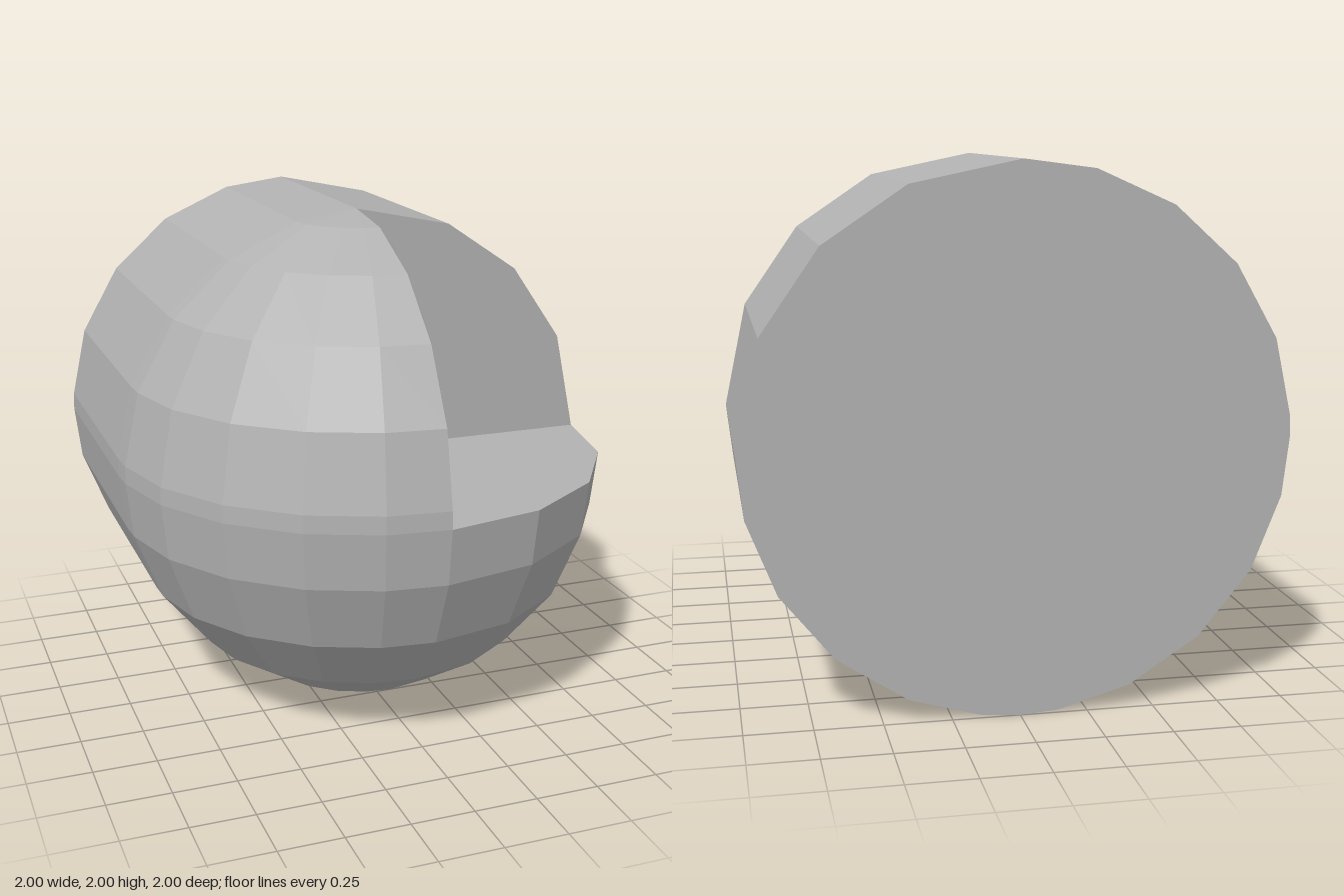
import * as THREE from 'three';

const rad = THREE.MathUtils.degToRad;

// Facet angles in degrees, finer on the closed quarters than on the cut one
const cutArc = [0, 24, 45.5, 66.5, 90];
const upperLat = [0, 4, 21, 39, 57, 75, 90];
const lowerLat = [-90, -82, -66, -48, -30, -13, 0];
const leftLon = [90, 104, 121, 139, 157, 174, 180];
const cutLon = [0, 22.5, 45, 67.5, 90];

// Unit-sphere point: longitude runs from +x over +z (front) to -x
function spherePoint(lat, lon) {
  const a = rad(lat), b = rad(lon);
  return [Math.cos(a) * Math.cos(b), 1 + Math.sin(a), Math.cos(a) * Math.sin(b)];
}

// Faceted patch of the sphere between lists of latitudes and longitudes
function spherePatch(lats, lons) {
  const pos = [];
  for (let i = 0; i < lats.length - 1; i++) {
    for (let j = 0; j < lons.length - 1; j++) {
      const a = spherePoint(lats[i], lons[j]);
      const b = spherePoint(lats[i], lons[j + 1]);
      const c = spherePoint(lats[i + 1], lons[j + 1]);
      const d = spherePoint(lats[i + 1], lons[j]);
      if (lats[i + 1] < 90) pos.push(...a, ...b, ...c, ...a, ...c, ...d);
      else pos.push(...a, ...b, ...c);
    }
  }
  // Longitude runs right to left, so reverse each triangle to face outward
  for (let k = 0; k < pos.length; k += 9) {
    for (let n = 0; n < 3; n++) [pos[k + 3 + n], pos[k + 6 + n]] = [pos[k + 6 + n], pos[k + 3 + n]];
  }
  const geo = new THREE.BufferGeometry();
  geo.setAttribute('position', new THREE.Float32BufferAttribute(pos, 3));
  geo.computeVertexNormals();
  return geo;
}

// Flat quarter disc spanned from the sphere centre
function quarterDisc(points) {
  const pos = [];
  for (let i = 0; i < points.length - 1; i++) pos.push(0, 1, 0, ...points[i], ...points[i + 1]);
  const geo = new THREE.BufferGeometry();
  geo.setAttribute('position', new THREE.Float32BufferAttribute(pos, 3));
  geo.computeVertexNormals();
  return geo;
}

export function createModel() {
  const group = new THREE.Group();
  const grey = new THREE.MeshStandardMaterial({ color: 0xb2b2b2, flatShading: true, side: THREE.DoubleSide });
  grey.name = 'plain grey';
  const add = (name, geo) => {
    const mesh = new THREE.Mesh(geo, grey);
    mesh.name = name;
    group.add(mesh);
  };

  // Cylindrical rear body, its ring matching the dome and the cut
  const ring = [
    ...cutArc,
    ...upperLat.slice(1, -1).reverse().map((a) => 180 - a),
    ...lowerLat.slice().reverse().map((a) => 180 - a),
    ...lowerLat.slice(1, -1),
  ];
  const outline = new THREE.Shape(
    ring.map((a) => new THREE.Vector2(Math.cos(rad(a)), 1 + Math.sin(rad(a)))));
  const body = new THREE.ExtrudeGeometry(outline, { depth: 1, bevelEnabled: false, steps: 1 });
  body.translate(0, 0, -1);
  add('rearCylinder', body);

  // Front dome: whole lower half and the left-hand upper quarter of the view
  add('lowerDome', spherePatch(lowerLat, [...cutLon, ...leftLon.slice(1)]));
  add('upperDome', spherePatch(upperLat, leftLon));

  // Flat walls of the cut-out; its rear wall is the cylinder's front end
  add('cutFloor', quarterDisc(cutLon.map((a) => spherePoint(0, a)).reverse()));
  add('cutSideWall', quarterDisc(cutArc.map((a) => spherePoint(a, 90)).reverse()));

  return group;
}
